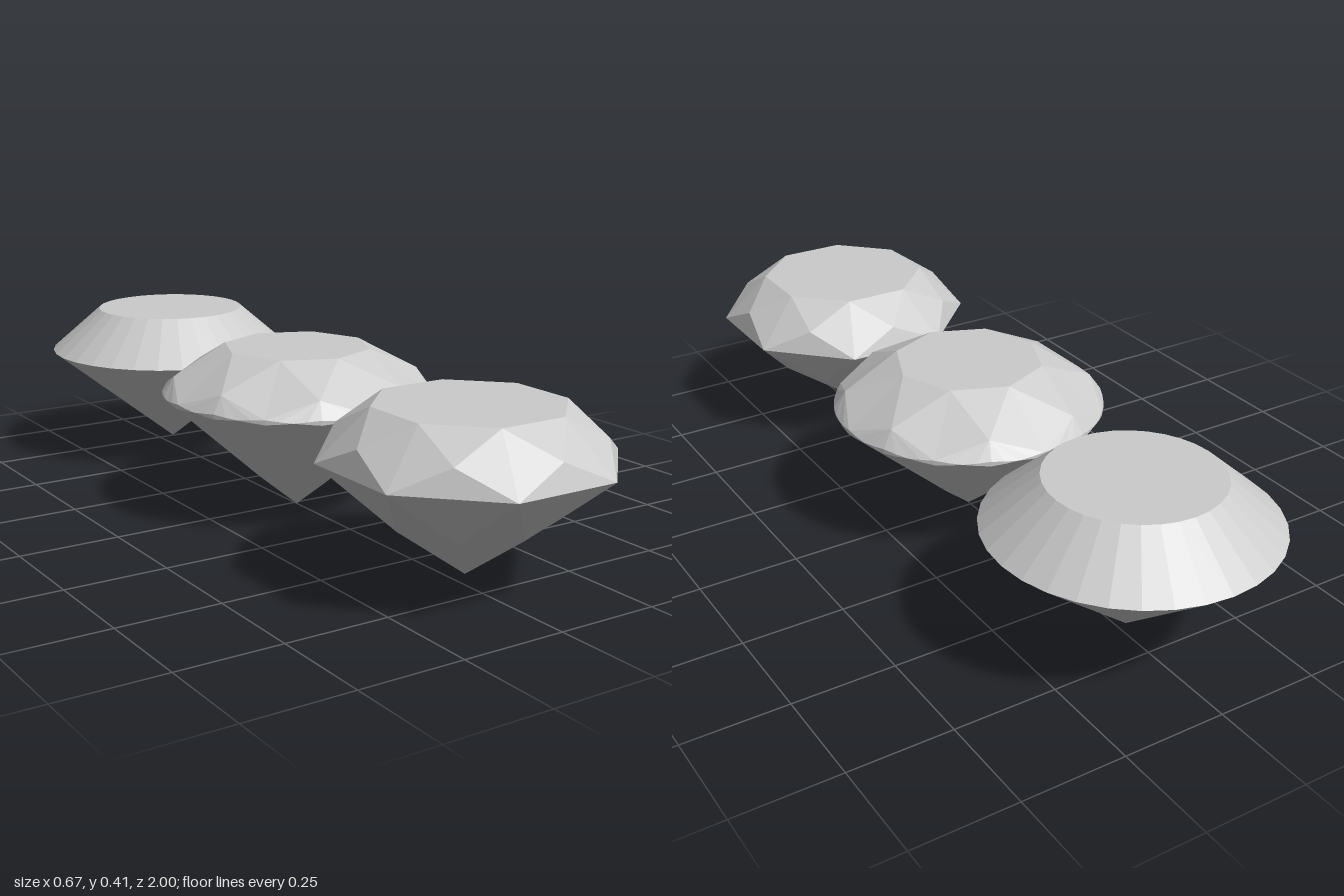
import * as THREE from 'three';

const material = new THREE.MeshStandardMaterial({ color: 0xcccccc, flatShading: true });
const STEP = Math.PI / 4; // eight-fold symmetry

const polar = (r, y, a) => new THREE.Vector3(r * Math.sin(a), y, r * Math.cos(a));

// Flat facets of a convex stone, each turned to face away from its core
function facetMesh(name, facets, coreY) {
  const core = new THREE.Vector3(0, coreY, 0);
  const positions = [];
  for (const facet of facets) {
    for (let i = 1; i < facet.length - 1; i++) {
      const [a, b, c] = [facet[0], facet[i], facet[i + 1]];
      const normal = b.clone().sub(a).cross(c.clone().sub(a));
      const outward = a.clone().add(b).add(c).divideScalar(3).sub(core);
      const order = normal.dot(outward) > 0 ? [a, b, c] : [a, c, b];
      order.forEach((p) => positions.push(p.x, p.y, p.z));
    }
  }
  const geometry = new THREE.BufferGeometry();
  geometry.setAttribute('position', new THREE.Float32BufferAttribute(positions, 3));
  geometry.computeVertexNormals();
  const mesh = new THREE.Mesh(geometry, material);
  mesh.name = name;
  return mesh;
}

// Brilliant cut: table, star and kite facets, girdle, pavilion kites.
// star, lower, table: [radius, y]; arc: girdle pieces per eighth turn
function brilliant(name, { turn, radius, girdleY, scallop, arc, table, star, lower, tipY }) {
  const crown = [], girdle = [], pavilion = [], tableRim = [];
  const tip = new THREE.Vector3(0, tipY, 0);
  // The girdle is thickest at the kite corners and halfway between them
  const rim = (k, j, side) => {
    const thick = scallop * Math.cos((2 * Math.PI * j) / arc) ** 2;
    return polar(radius, girdleY + side * thick, turn + (k + j / arc) * STEP);
  };
  for (let k = 0; k < 8; k++) {
    const a = turn + k * STEP;
    const t0 = polar(...table, a), t1 = polar(...table, a + STEP);
    const s0 = polar(...star, a - STEP / 2), s1 = polar(...star, a + STEP / 2);
    const p0 = polar(...lower, a - STEP / 2), p1 = polar(...lower, a + STEP / 2);
    tableRim.push(t0);
    crown.push([t0, s1, t1], [t0, s0, rim(k, 0, 1), s1]);
    pavilion.push([tip, p0, rim(k, 0, -1), p1]);
    for (let j = 0; j < arc; j++) {
      crown.push([s1, rim(k, j, 1), rim(k, j + 1, 1)]);
      pavilion.push([p1, rim(k, j, -1), rim(k, j + 1, -1)]);
      if (scallop > 0) {
        girdle.push([rim(k, j, 1), rim(k, j + 1, 1), rim(k, j + 1, -1), rim(k, j, -1)]);
      }
    }
  }
  crown.push(tableRim);
  const gem = new THREE.Group();
  gem.name = name;
  gem.add(facetMesh('crown', crown, girdleY), facetMesh('pavilion', pavilion, girdleY));
  if (scallop > 0) gem.add(facetMesh('girdle', girdle, girdleY));
  return gem;
}

// Plain round stone turned from a simple profile
function conicalGem() {
  const profile = [[0, 0.027], [0.335, 0.295], [0.202, 0.41], [0, 0.41]];
  const geometry = new THREE.LatheGeometry(profile.map(([r, y]) => new THREE.Vector2(r, y)), 32);
  const mesh = new THREE.Mesh(geometry, material);
  mesh.name = 'conicalGem';
  return mesh;
}

export function createModel() {
  const model = new THREE.Group();
  model.name = 'gems';

  const octagonal = brilliant('octagonalGem', {
    turn: STEP / 2, radius: 0.336, girdleY: 0.292, scallop: 0, arc: 1,
    table: [0.217, 0.41], star: [0.291, 0.35], lower: [0.187, 0.156], tipY: 0.025,
  });
  octagonal.position.z = 0.69;

  const round = brilliant('roundBrilliantGem', {
    turn: 0, radius: 0.337, girdleY: 0.3, scallop: 0.006, arc: 8,
    table: [0.185, 0.413], star: [0.308, 0.346], lower: [0.09, 0.073], tipY: 0,
  });
  round.position.z = 0.01;

  const conical = conicalGem();
  conical.position.z = -0.665;

  model.add(octagonal, round, conical);
  return model;
}
